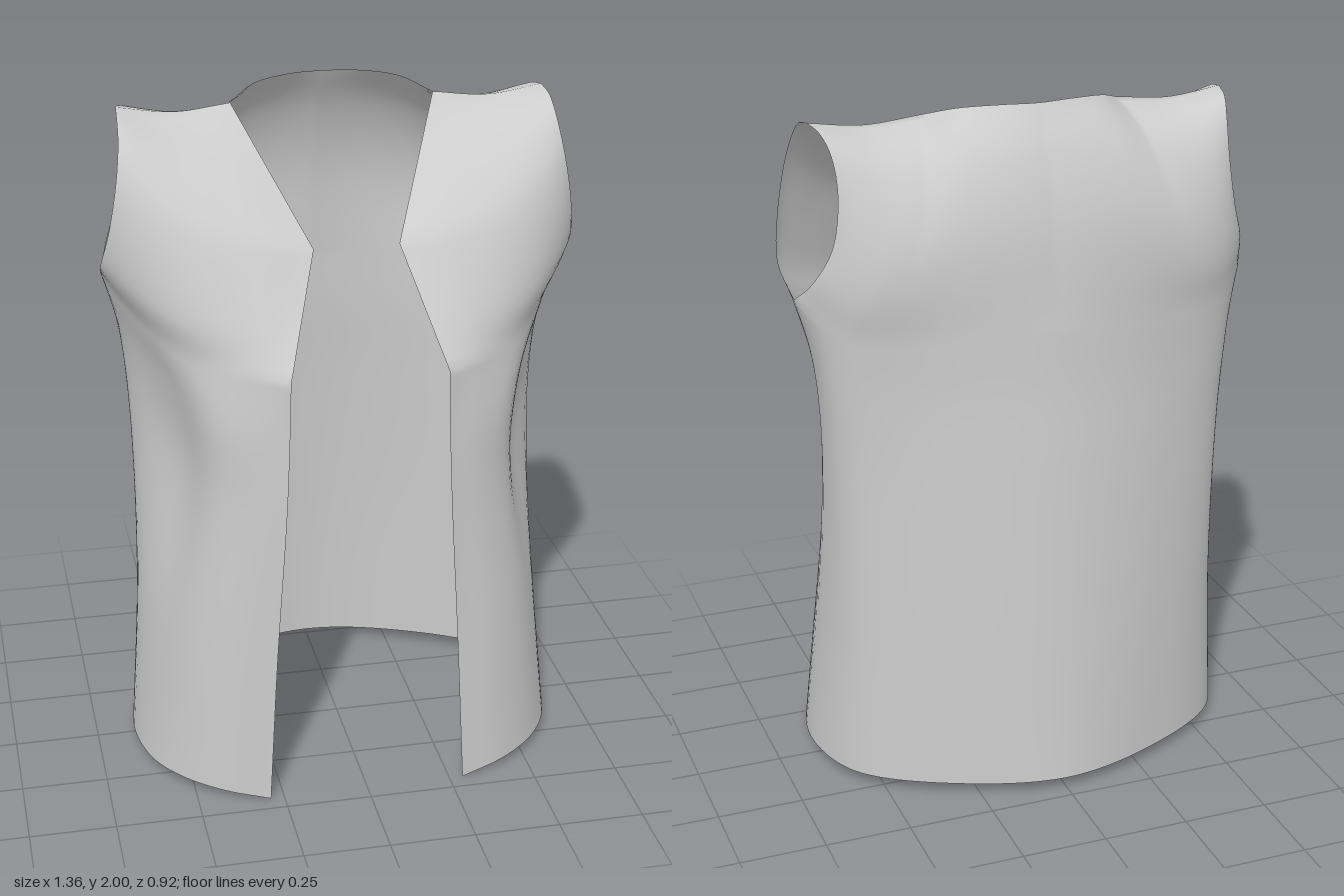
import * as THREE from 'three';
import { mergeGeometries, mergeVertices } from 'three/addons/utils/BufferGeometryUtils.js';

const vec = (p) => new THREE.Vector3(...p);
const spline = (pts) => new THREE.CatmullRomCurve3(pts.map((p) => (p.isVector3 ? p : vec(p))));

// Half cross-sections of the body, [x, z] from front edge round the side,
// ending one point past the back centre so that the back stays round
const levels = [0, 0.35, 0.7, 0.87, 1];
const sections = [
  [[0.29, 0.45], [0.42, 0.41], [0.53, 0.33], [0.61, 0.2], [0.64, 0], [0.57, -0.21], [0.32, -0.375], [0, -0.46], [-0.32, -0.375]],
  [[0.265, 0.45], [0.39, 0.415], [0.49, 0.335], [0.557, 0.19], [0.605, -0.015], [0.555, -0.21], [0.32, -0.36], [0, -0.43], [-0.32, -0.36]],
  [[0.235, 0.46], [0.34, 0.42], [0.427, 0.345], [0.485, 0.18], [0.597, -0.045], [0.57, -0.2], [0.34, -0.33], [0, -0.395], [-0.34, -0.33]],
  [[0.225, 0.46], [0.33, 0.42], [0.425, 0.35], [0.51, 0.18], [0.62, -0.06], [0.58, -0.21], [0.34, -0.32], [0, -0.375], [-0.34, -0.32]],
  [[0.22, 0.46], [0.33, 0.4], [0.455, 0.3], [0.575, 0.14], [0.67, -0.08], [0.58, -0.23], [0.34, -0.32], [0, -0.365], [-0.34, -0.32]],
];
const hemY = [0, 0.02, 0.03, 0.03, 0.035, 0.035, 0.035, 0.035, 0.035];
const chestY = [1.32, 1.33, 1.34, 1.39, 1.48, 1.41, 1.4, 1.4, 1.4];
const rows = sections.map((row, r) =>
  row.map(([x, z], c) => new THREE.Vector3(x, THREE.MathUtils.lerp(hemY[c], chestY[c], levels[r]), z)));
const columns = hemY.map((_, c) => spline(rows.map((row) => row[c])));
const chest = spline(rows[4]);

// Edges of the upper panels
const lapel = [[0.22, 1.32, 0.46], [0.12, 1.63, 0.27], [0.29, 1.96, -0.06]].map(vec);
const lapelAt = (v) => (v < 0.5
  ? lapel[0].clone().lerp(lapel[1], v * 2)
  : lapel[1].clone().lerp(lapel[2], v * 2 - 1));
const armholeFront = spline([[0.67, 1.48, -0.08], [0.68, 1.55, 0.05], [0.66, 1.66, 0.11],
  [0.635, 1.8, 0.115], [0.62, 1.9, 0.07], [0.615, 1.95, 0.01], [0.61, 1.965, -0.06]]);
const armholeBack = spline([[0.67, 1.48, -0.08], [0.64, 1.55, -0.17], [0.595, 1.66, -0.22],
  [0.575, 1.8, -0.215], [0.58, 1.9, -0.18], [0.595, 1.95, -0.13], [0.61, 1.965, -0.06]]);
const shoulder = spline([[0.29, 1.96, -0.06], [0.45, 1.945, -0.055], [0.61, 1.965, -0.06]]);
const backNeck = spline([[0.29, 1.96, -0.06], [0.21, 1.99, -0.14], [0.1, 2, -0.185], [0, 2, -0.2],
  [-0.1, 2, -0.185], [-0.21, 1.99, -0.14], [-0.29, 1.96, -0.06]]);
const backCentre = spline([[0, 1.4, -0.365], [0, 1.7, -0.33], [0, 1.87, -0.275], [0, 2, -0.2]]);

// Grid surface from a function of u (front to back) and v (upwards)
function surface(point, nu, nv) {
  const position = [], index = [];
  for (let j = 0; j <= nv; j++) {
    for (let i = 0; i <= nu; i++) {
      position.push(...point(i / nu, j / nv).toArray());
      if (i === nu || j === nv) continue;
      const a = j * (nu + 1) + i, b = a + nu + 1;
      index.push(a, a + 1, b, a + 1, b + 1, b);
    }
  }
  const g = new THREE.BufferGeometry();
  g.setAttribute('position', new THREE.Float32BufferAttribute(position, 3));
  g.setIndex(index);
  return g;
}

// Patch spanning two side edges, bent to meet its bottom and top curves
const patch = (bottom, top, start, end) => (u, v) => {
  const bend = (curve) => curve(u).sub(curve(0).lerp(curve(1), u));
  return start(v).lerp(end(v), u)
    .addScaledVector(bend(bottom), 1 - v)
    .addScaledVector(bend(top), v * v);
};

// Body section between two columns
const body = (from, to) => (u, v) =>
  spline(columns.map((c) => c.getPoint(v))).getPoint((from + (to - from) * u) / 8);

function mirrored(geometry) {
  const g = geometry.clone().scale(-1, 1, 1);
  g.index.array.reverse();
  return g;
}

export function createModel() {
  const group = new THREE.Group();
  group.name = 'vest';

  const frontYoke = patch((u) => chest.getPoint(u * 4 / 8), (u) => shoulder.getPoint(u),
    lapelAt, (v) => armholeFront.getPoint(v));
  const backYoke = patch((u) => chest.getPoint((4 + 3 * u) / 8),
    (u) => (u < 0.5 ? shoulder.getPoint(1 - 2 * u) : backNeck.getPoint(u - 0.5)),
    (v) => armholeBack.getPoint(v), (v) => backCentre.getPoint(v));

  const half = mergeGeometries([
    surface(body(0, 4), 24, 32),
    surface(body(4, 7), 48, 32),
    surface(frontYoke, 24, 24),
    surface(backYoke, 48, 24),
  ]);

  // Both halves are welded so the cloth shades smoothly across the seams
  const cloth = mergeVertices(mergeGeometries([half, mirrored(half)]), 1e-4);
  cloth.computeVertexNormals();
  const mesh = new THREE.Mesh(cloth,
    new THREE.MeshStandardMaterial({ color: 0xcccccc, side: THREE.DoubleSide }));
  mesh.name = 'vestCloth';
  group.add(mesh);
  return group;
}
